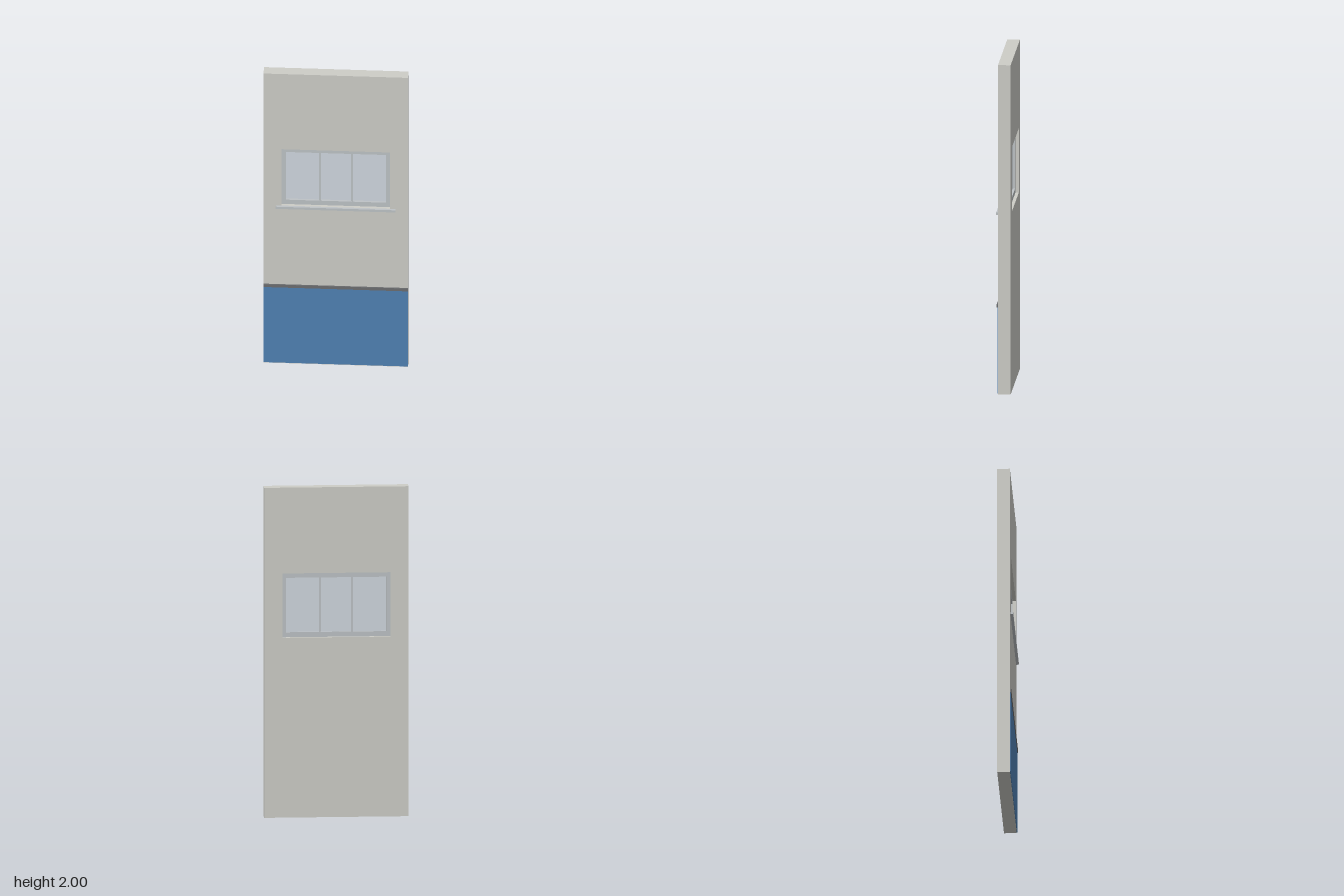
import * as THREE from 'three';

const material = (color) => new THREE.MeshStandardMaterial({ color });

export function createModel() {
  const group = new THREE.Group();
  const wall = material(0xcdcdc7);
  const frame = material(0xbec3c6);
  const glass = material(0xd0d7df);
  const trim = material(0x6c6e70);
  const blue = material(0x4f81b3);

  // Box given by its limits on each axis
  function box(name, mat, [x0, x1], [y0, y1], [z0, z1]) {
    const mesh = new THREE.Mesh(new THREE.BoxGeometry(x1 - x0, y1 - y0, z1 - z0), mat);
    mesh.name = name;
    mesh.position.set((x0 + x1) / 2, (y0 + y1) / 2, (z0 + z1) / 2);
    group.add(mesh);
  }

  const W = 0.433, H = 2, open = 0.325;
  const bottom = 1.09, top = 1.48;
  const wallZ = [-0.046, 0.03];
  const frameZ = [-0.026, 0.01];

  // Wall around the window opening
  box('rightWallPost', wall, [-W, -open], [0, H], wallZ);
  box('leftWallPost', wall, [open, W], [0, H], wallZ);
  box('lowerWall', wall, [-open, open], [0, bottom], wallZ);
  box('upperWall', wall, [-open, open], [top, H], wallZ);

  // Recessed window frame
  const rail = 0.03, stile = 0.025;
  const paneY = [bottom + rail, top - rail];
  box('bottomRail', frame, [-open, open], [bottom, paneY[0]], frameZ);
  box('topRail', frame, [-open, open], [paneY[1], top], frameZ);
  box('rightStile', frame, [-open, -open + stile], paneY, frameZ);
  box('leftStile', frame, [open - stile, open], paneY, frameZ);

  // Mullions and the panes between them
  const mullion = 0.006, centre = 0.096;
  for (const x of [-centre, centre]) {
    box('mullion', frame, [x - mullion, x + mullion], paneY, [-0.021, 0.005]);
  }
  const inner = open - stile;
  const panes = [[-inner, -centre - mullion], [-centre + mullion, centre - mullion], [centre + mullion, inner]];
  for (const x of panes) box('windowPane', glass, x, paneY, [-0.011, -0.005]);

  // Projecting sill
  box('windowSill', frame, [-0.358, 0.358], [1.075, bottom], [0.03, 0.046]);

  // Painted wainscot with its cap strip
  box('wainscot', blue, [-W, W], [0.005, 0.527], [0.03, 0.034]);
  box('capStrip', trim, [-W, W], [0.527, 0.546], [0.03, 0.038]);

  return group;
}
